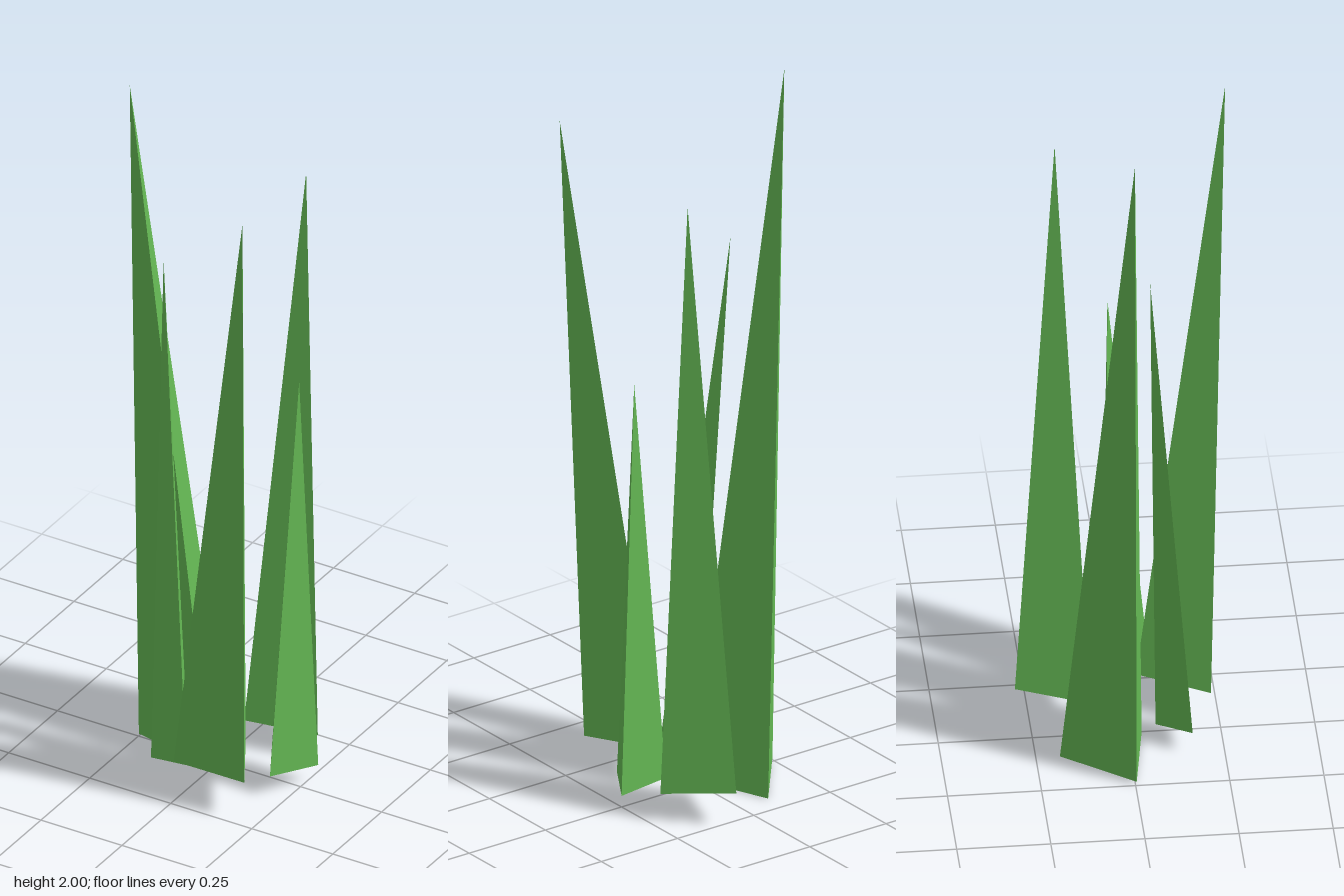
import * as THREE from 'three';
import { ConvexGeometry } from 'three/addons/geometries/ConvexGeometry.js';

// Each blade is a slender three-sided spike: its tip, then three base corners.
const blades = {
  leftBlade: [[-0.28, 2, -0.005], [-0.247, 0.01, 0.003], [-0.003, 0, 0.04], [-0.094, 0, -0.186]],
  backBlade: [[0.162, 1.78, -0.175], [0.085, 0.1, -0.288], [0.02, 0.085, -0.093], [0.222, 0.08, -0.135]],
  rightBlade: [[0.229, 1.23, -0.028], [0.136, 0.07, -0.043], [0.28, 0.055, -0.041], [0.205, 0.06, 0.082]],
  frontBlade: [[0.243, 1.885, 0.286], [0.102, 0.115, 0.035], [-0.006, 0.115, 0.224], [0.21, 0.115, 0.222]],
  innerBlade: [[-0.143, 1.53, 0.049], [-0.053, 0.058, 0.072], [-0.112, 0.063, 0.165], [-0.002, 0.075, 0.168]],
};

export function createModel() {
  const group = new THREE.Group();
  group.name = 'grassTuft';
  const green = new THREE.MeshStandardMaterial({ color: 0x66bb55, flatShading: true });

  for (const [name, points] of Object.entries(blades)) {
    const corners = points.map((p) => new THREE.Vector3(...p));
    const blade = new THREE.Mesh(new ConvexGeometry(corners), green);
    blade.name = name;
    group.add(blade);
  }
  return group;
}
